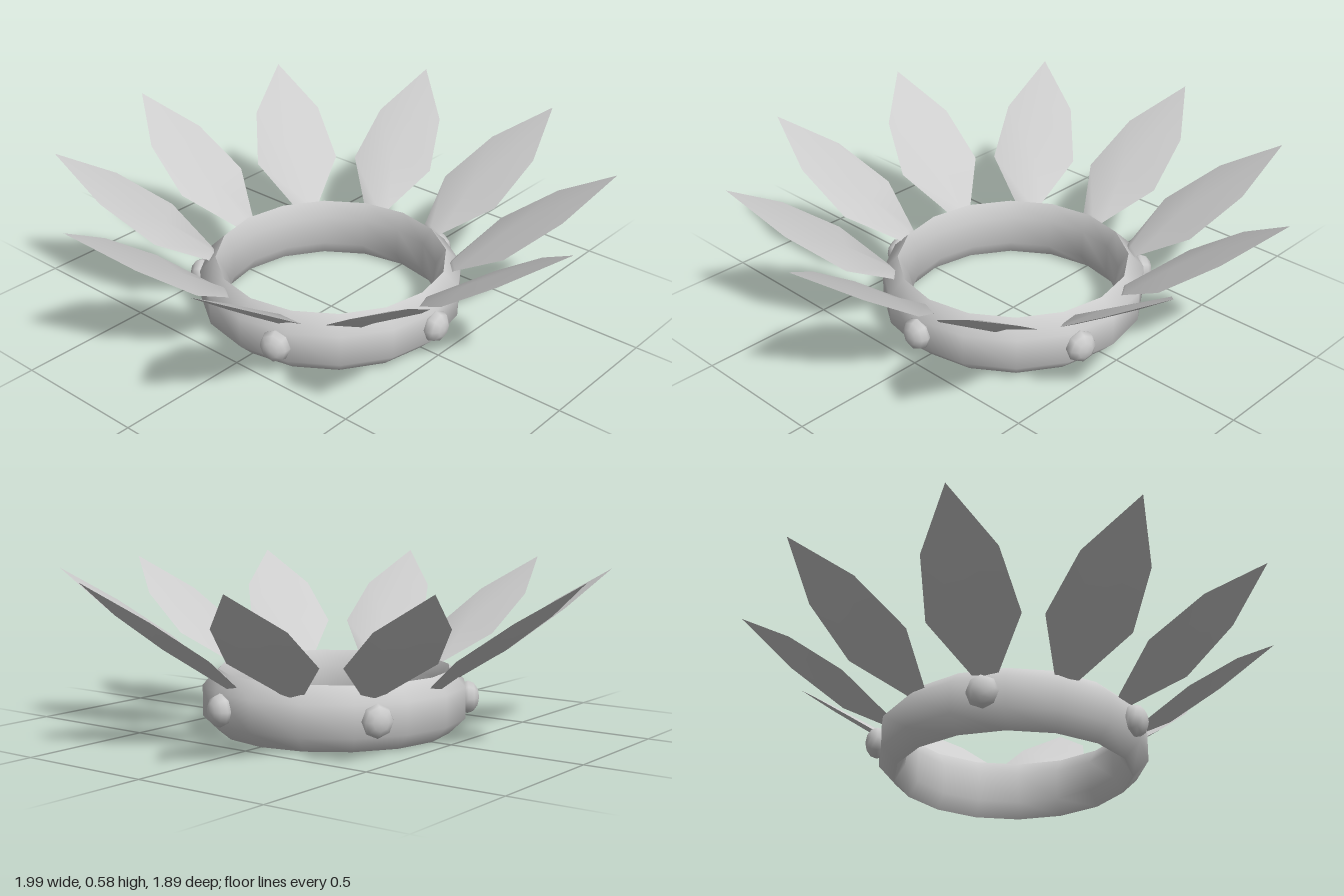
import * as THREE from 'three';
import { toCreasedNormals } from 'three/addons/utils/BufferGeometryUtils.js';

const metal = new THREE.MeshStandardMaterial({ color: 0xcccccc });
metal.name = 'pale grey';

// Loft a leaf with a thin diamond cross-section along its sloping axis.
function petalGeometry() {
  const slope = Math.atan2(0.385, 0.545);
  // radius, height, half width, half thickness
  const stations = [
    [0.425, 0.18, 0, 0],
    [0.435, 0.19, 0.04, 0.014],
    [0.452, 0.205, 0.052, 0.016],
    [0.615, 0.318, 0.16, 0.013],
    [0.81, 0.455, 0.128, 0.009],
    [0.995, 0.585, 0, 0],
  ];
  const rings = stations.map(([r, y, w, t]) => {
    const nx = -Math.sin(slope) * t, ny = Math.cos(slope) * t;
    return [[r, y, -w], [r + nx, y + ny, 0], [r, y, w], [r - nx, y - ny, 0]];
  });
  const pos = [];
  for (let i = 0; i < rings.length - 1; i++) {
    const p = rings[i], q = rings[i + 1];
    for (let j = 0; j < 4; j++) {
      const k = (j + 1) % 4;
      if (i > 0) pos.push(...p[j], ...p[k], ...q[j]);
      if (i < rings.length - 2) pos.push(...p[k], ...q[k], ...q[j]);
    }
  }
  const g = new THREE.BufferGeometry();
  g.setAttribute('position', new THREE.Float32BufferAttribute(pos, 3));
  return toCreasedNormals(g, 0.7);
}

function lathe(points) {
  return new THREE.LatheGeometry(points.map(([x, y]) => new THREE.Vector2(x, y)), 16);
}

function add(group, geometry, name) {
  const mesh = new THREE.Mesh(geometry, metal);
  mesh.name = name;
  group.add(mesh);
  return mesh;
}

export function createModel() {
  const crown = new THREE.Group();
  crown.name = 'crown';

  // Band: bulging outer and inner walls meeting in sharp rims
  add(crown, lathe([[0.422, 0], [0.48, 0.057], [0.48, 0.17], [0.422, 0.227]]), 'bandOuter');
  add(crown, lathe([[0.422, 0.227], [0.387, 0.17], [0.387, 0.057], [0.422, 0]]), 'bandInner');

  // Ten petals fanning outward
  const petal = petalGeometry();
  for (let i = 0; i < 10; i++) {
    add(crown, petal, 'petal').rotation.y = (i * Math.PI) / 5;
  }

  // Five studs, one below every second petal
  const stud = new THREE.SphereGeometry(1, 8, 6);
  stud.rotateZ(-Math.PI / 2);
  stud.scale(0.042, 0.06, 0.056);
  stud.translate(0.483, 0.115, 0);
  for (let i = 0; i < 5; i++) {
    add(crown, stud, 'stud').rotation.y = (i * Math.PI * 2) / 5;
  }

  return crown;
}
